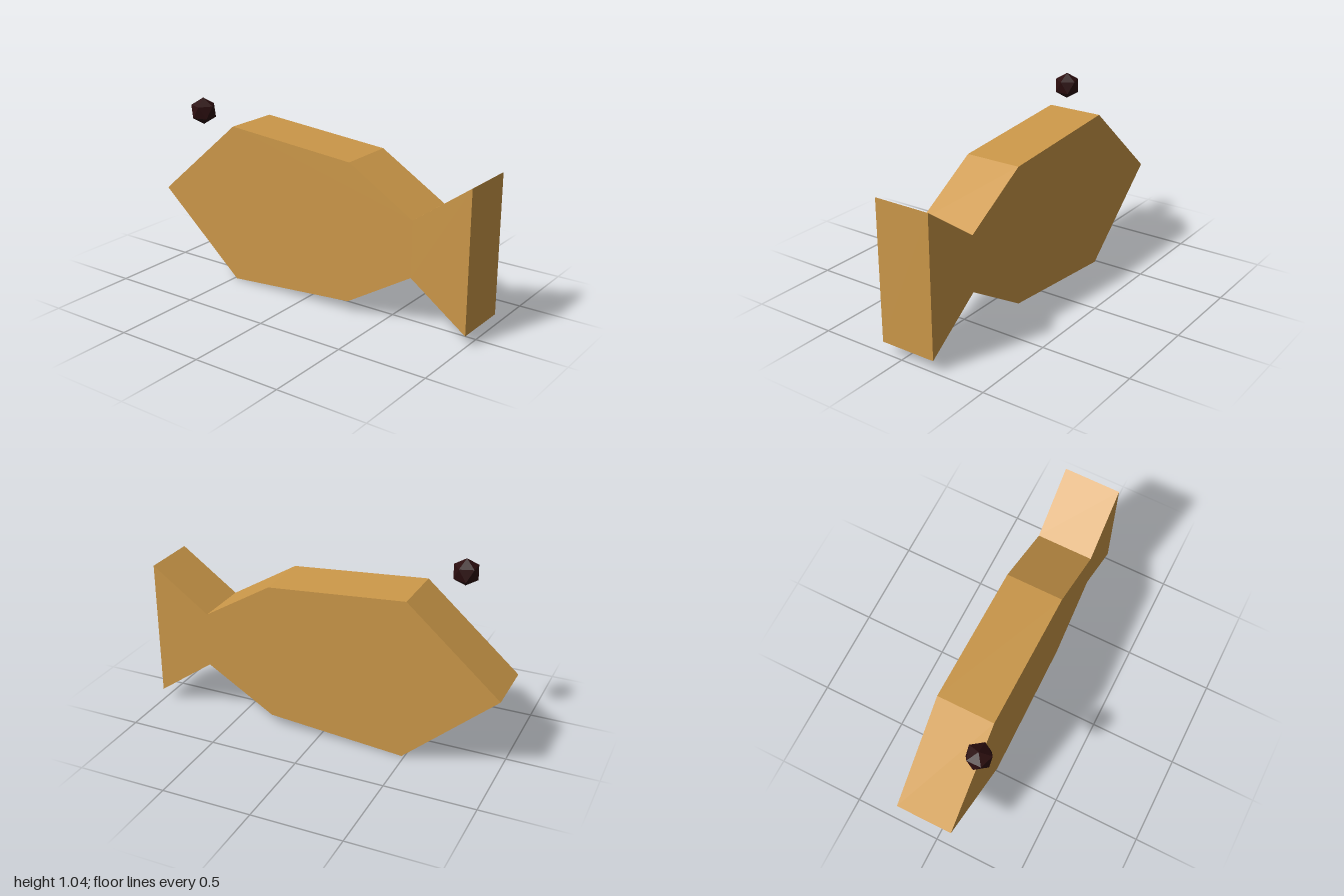
import * as THREE from 'three';

export function createModel() {
  const model = new THREE.Group();
  const wood = new THREE.MeshStandardMaterial({ name: 'golden tan', color: 0xcc9849 });
  const dark = new THREE.MeshStandardMaterial({ name: 'dark brown', color: 0x2b0d0e, flatShading: true });

  // Fish outline, nose to tail; the lower half mirrors the upper half
  const midY = 0.4525;
  const upper = [[-1, 0], [-0.485, 0.4525], [0.29, 0.388], [0.675, 0.155], [1, 0.388]];
  const lower = upper.slice(1).reverse().map(([x, h]) => [x, -h]);
  const outline = [...upper, ...lower].map(([x, h]) => new THREE.Vector2(x, midY + h));

  // Slab body with tail
  const back = -0.202, front = 0.118;
  const bodyGeometry = new THREE.ExtrudeGeometry(new THREE.Shape(outline), {
    depth: front - back, bevelEnabled: false,
  });
  bodyGeometry.translate(0, 0, back);
  const body = new THREE.Mesh(bodyGeometry, wood);
  body.name = 'fishBody';

  // Faceted eye, turned so that one corner points straight up
  const golden = (1 + Math.sqrt(5)) / 2;
  const eyeGeometry = new THREE.IcosahedronGeometry(0.0755, 0);
  eyeGeometry.rotateZ(-Math.atan(1 / golden));
  const eye = new THREE.Mesh(eyeGeometry, dark);
  eye.name = 'eye';
  eye.position.set(-0.68, 0.969, 0.137);

  model.add(body, eye);
  return model;
}
